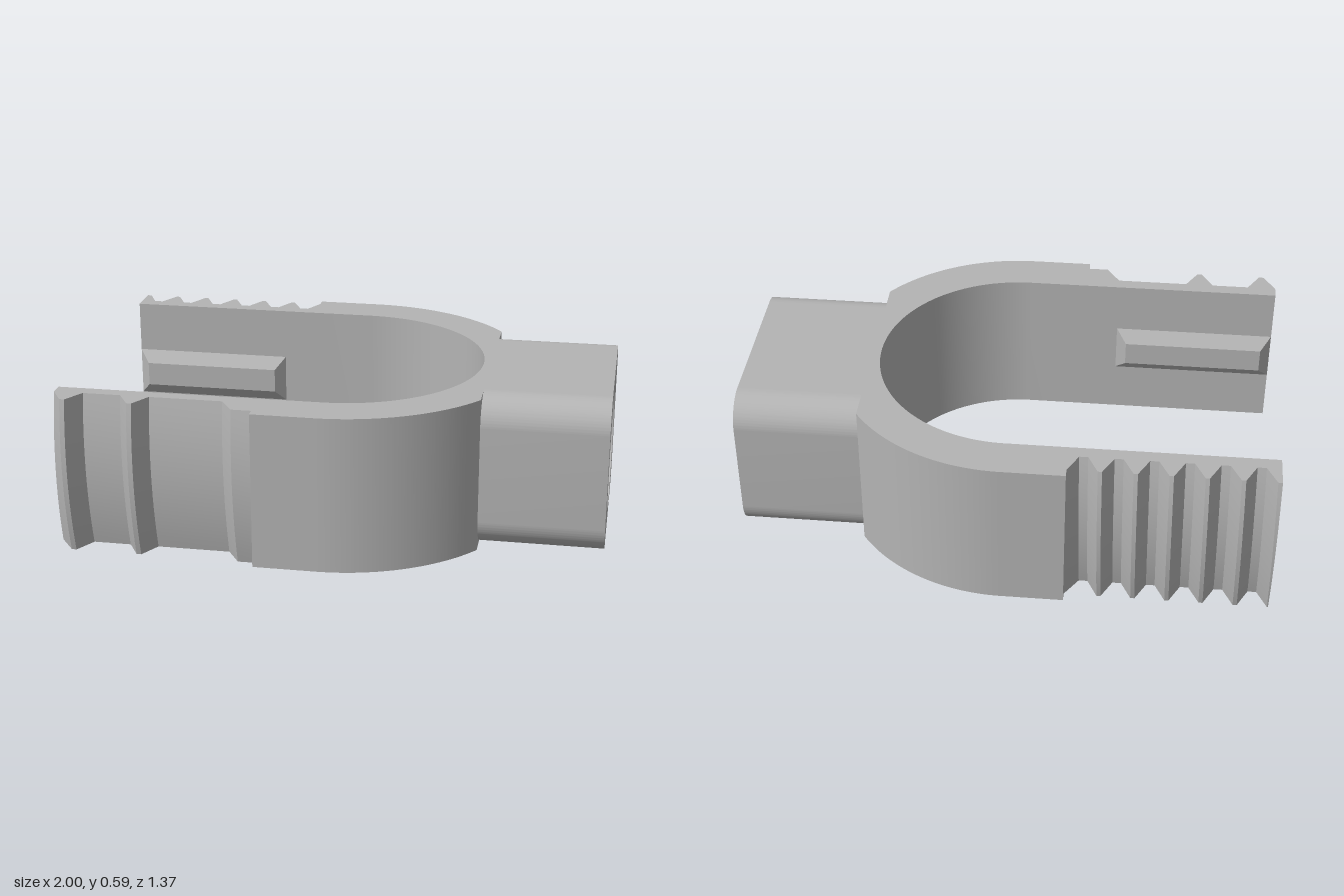
import * as THREE from 'three';
import { toCreasedNormals } from 'three/addons/utils/BufferGeometryUtils.js';

const H = 0.59;          // height of the whole part
const INNER = 0.525;     // inner half width of the fork
const OUTER = 0.687;     // outer half width of the fork
const ROOT = 0.61;       // half width at the thread roots
const ARC_X = -0.02;     // centre of the round end
const NECK_X = 0.535;    // where the socket starts
const THREAD_X = -0.25;  // where the threads start

const plastic = new THREE.MeshStandardMaterial({ color: 0xb4b4b4 });
plastic.name = 'grey plastic';

function part(name, geometry, crease = 0.5) {
  const mesh = new THREE.Mesh(toCreasedNormals(geometry, crease), plastic);
  mesh.name = name;
  return mesh;
}

// Plan outlines are drawn as (x, -z) and raised along y
function raise(shape, steps) {
  return new THREE.ExtrudeGeometry(shape, { depth: H, steps, bevelEnabled: false, curveSegments: 48 })
    .rotateX(-Math.PI / 2);
}

// U-shaped yoke, cut flat at the socket
function yoke() {
  const a = Math.acos((NECK_X - ARC_X) / OUTER);
  const s = new THREE.Shape();
  s.moveTo(THREAD_X, -OUTER);
  s.lineTo(ARC_X, -OUTER);
  s.absarc(ARC_X, 0, OUTER, -Math.PI / 2, -a, false);
  s.absarc(ARC_X, 0, OUTER, a, Math.PI / 2, false);
  s.lineTo(THREAD_X, OUTER);
  s.lineTo(THREAD_X, INNER);
  s.absarc(ARC_X, 0, INNER, Math.PI / 2, -Math.PI / 2, true);
  s.lineTo(THREAD_X, -INNER);
  return part('yoke', raise(s, 1));
}

// Socket block with rounded corners and a blind round bore
function socket() {
  const w = 0.403, r = 0.115;
  const s = new THREE.Shape();
  s.absarc(w - r, r, r, -Math.PI / 2, 0, false);
  s.absarc(w - r, H - r, r, 0, Math.PI / 2, false);
  s.absarc(r - w, H - r, r, Math.PI / 2, Math.PI, false);
  s.absarc(r - w, r, r, Math.PI, Math.PI * 1.5, false);
  s.closePath();
  s.holes.push(new THREE.Path().absarc(0, H / 2, 0.253, 0, Math.PI * 2, true));
  const g = new THREE.ExtrudeGeometry(s, { depth: 1 - NECK_X, bevelEnabled: false, curveSegments: 24 });
  return part('socket', g.rotateY(Math.PI / 2).translate(NECK_X, 0, 0));
}

// Arm with a toothed outer side, bowed over its height and slightly helical
function threadedArm(name, side, profile) {
  const outline = [[-1, INNER], [THREAD_X, INNER], ...profile];
  const g = raise(new THREE.Shape(outline.map(([x, d]) => new THREE.Vector2(x, -side * d))), 14);
  const p = g.attributes.position;
  for (let i = 0; i < p.count; i++) {
    const x = p.getX(i), z = p.getZ(i);
    if (Math.abs(z) < INNER + 0.03) continue;
    const t = p.getY(i) / H * 2 - 1;
    p.setZ(i, z - side * 0.035 * t * t);
    if (x > -0.995 && x < THREAD_X - 0.005) p.setX(i, x - side * 0.006 * t);
  }
  return part(name, g, 0.4);
}

// Tapered guide rib on the inside of an arm
function rib(name, side) {
  const g = new THREE.BoxGeometry(0.625, 0.19, 0.04);
  const p = g.attributes.position;
  for (let i = 0; i < p.count; i++) {
    if (p.getZ(i) * side > 0) continue;
    p.setX(i, p.getX(i) - Math.sign(p.getX(i)) * 0.04);
    p.setY(i, p.getY(i) * 0.5);
  }
  g.translate(-0.6875, H / 2, side * (INNER - 0.02));
  return part(name, g, 0.1);
}

export function createModel() {
  const model = new THREE.Group();
  model.name = 'threaded fork';

  // Coarse thread on the front arm
  const coarse = [
    [THREAD_X, OUTER], [-0.318, OUTER], [-0.368, ROOT],
    [-0.638, ROOT], [-0.682, OUTER], [-0.70, OUTER], [-0.745, ROOT],
    [-0.885, ROOT], [-0.93, OUTER], [-0.948, OUTER], [-1, ROOT],
  ];

  // Fine thread on the back arm
  const fine = [[THREAD_X, OUTER]];
  for (let i = 0; i < 6; i++) {
    const x = THREAD_X - 0.125 * i;
    fine.push([x - 0.045, ROOT], [x - 0.077, ROOT], [x - 0.115, OUTER]);
    if (i < 5) fine.push([x - 0.13, OUTER]);
  }
  fine.push([-1, OUTER]);

  model.add(
    yoke(), socket(),
    threadedArm('frontArm', 1, coarse), threadedArm('backArm', -1, fine),
    rib('frontRib', 1), rib('backRib', -1),
  );
  return model;
}
